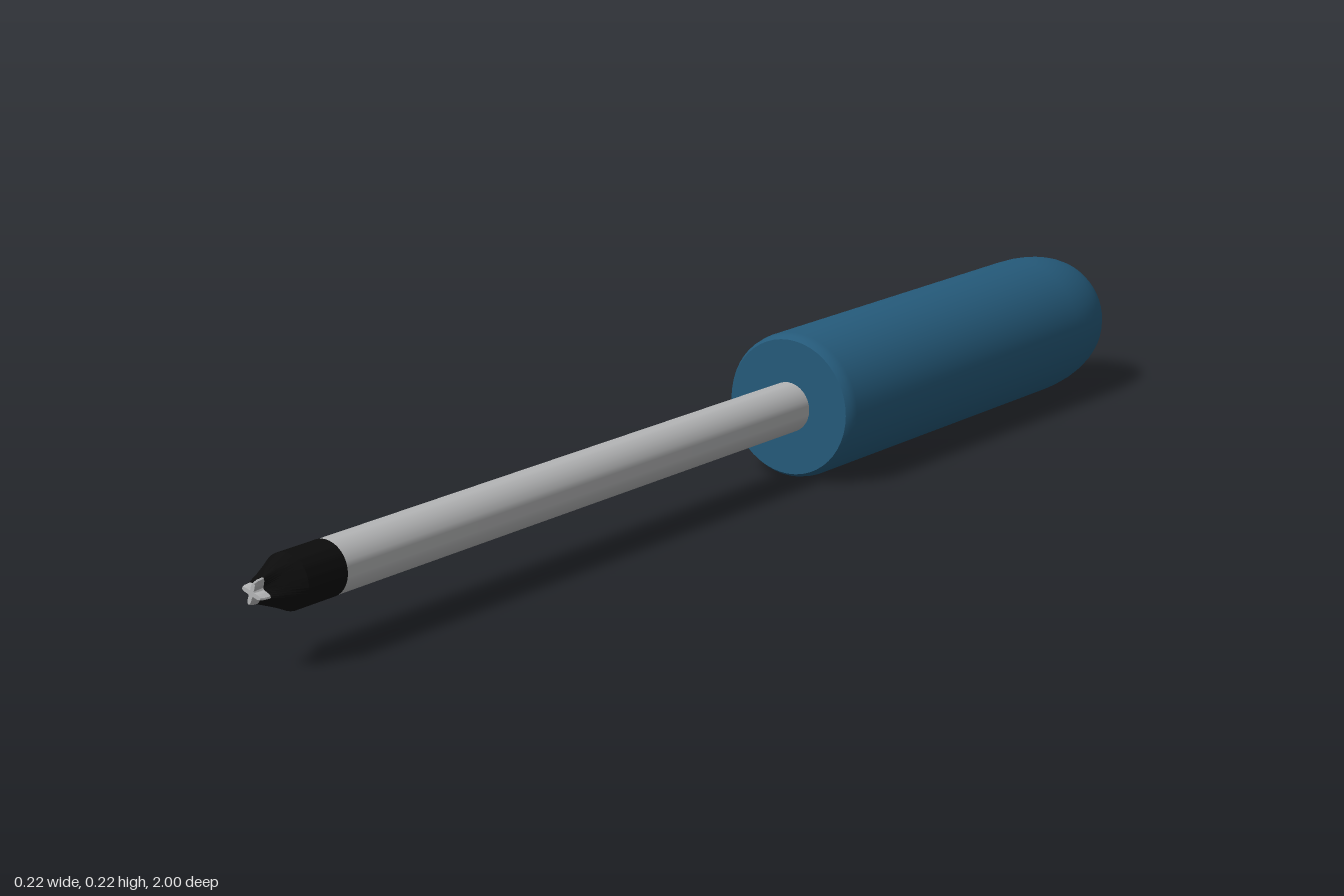
import * as THREE from 'three';
import { toCreasedNormals } from 'three/addons/utils/BufferGeometryUtils.js';

const AXIS_Y = 0.11;

// Revolve [radius, z] pairs around the tool's long axis
function turned(profile, segments) {
  const points = profile.map(([r, z]) => new THREE.Vector2(r, z));
  const geo = new THREE.LatheGeometry(points, segments).rotateX(Math.PI / 2);
  return toCreasedNormals(geo, 0.5);
}

// Loft four-fluted cross-sections [z, radius, fluteDepth], closed at the front
function fluted(sections) {
  const n = 64, pos = [], index = [];
  for (const [z, radius, depth] of sections) {
    for (let i = 0; i < n; i++) {
      const a = (i / n) * Math.PI * 2;
      const r = radius * (1 - depth * (1 - Math.abs(Math.cos(2 * a)) ** 4));
      pos.push(r * Math.cos(a), r * Math.sin(a), z);
    }
  }
  const last = (sections.length - 1) * n;
  const centre = pos.length / 3;
  pos.push(0, 0, sections[sections.length - 1][0]);
  for (let i = 0; i < n; i++) {
    const j = (i + 1) % n;
    for (let k = 0; k < last; k += n) {
      index.push(k + i, k + j, k + n + j, k + i, k + n + j, k + n + i);
    }
    index.push(last + i, last + j, centre);
  }
  const geo = new THREE.BufferGeometry();
  geo.setAttribute('position', new THREE.Float32BufferAttribute(pos, 3));
  geo.setIndex(index);
  return toCreasedNormals(geo, 0.5);
}

export function createModel() {
  const model = new THREE.Group();
  model.name = 'screwdriver';

  const material = (name, color) => {
    const m = new THREE.MeshStandardMaterial({ color });
    m.name = name;
    return m;
  };
  const blue = material('blue plastic', 0x255a7a);
  const steel = material('steel', 0xb4b5b6);
  const black = material('black tip', 0x0c0c0c);

  const add = (name, geo, mat) => {
    const mesh = new THREE.Mesh(geo, mat);
    mesh.name = name;
    mesh.position.y = AXIS_Y;
    model.add(mesh);
    return mesh;
  };

  // Handle: flat butt, rounded shoulder, straight grip, small front bevel
  const handle = [[0, -1]];
  for (let i = 0; i <= 8; i++) {
    const a = (i / 8) * Math.PI / 2;
    handle.push([0.072 + 0.038 * Math.sin(a), -0.87 - 0.13 * Math.cos(a)]);
  }
  handle.push([0.11, -0.215], [0.108, -0.203], [0.103, -0.195], [0, -0.195]);
  add('handle', turned(handle, 48), blue);

  // Shaft
  add('shaft', turned([[0, -0.25], [0.038, -0.25], [0.038, 0.86], [0, 0.86]], 32), steel);

  // Blackened bit with flutes deepening toward the point
  const roll = -0.33;
  add('bit', fluted([
    [0.86, 0.0385, 0], [0.935, 0.0385, 0], [0.96, 0.029, 0.22], [0.984, 0.02, 0.6],
  ]), black).rotation.z = roll;

  // Bare cross-shaped point
  add('crossPoint', fluted([[0.982, 0.0195, 0.6], [0.994, 0.0185, 0.65], [1, 0.016, 0.68]]), steel).rotation.z = roll;

  return model;
}
